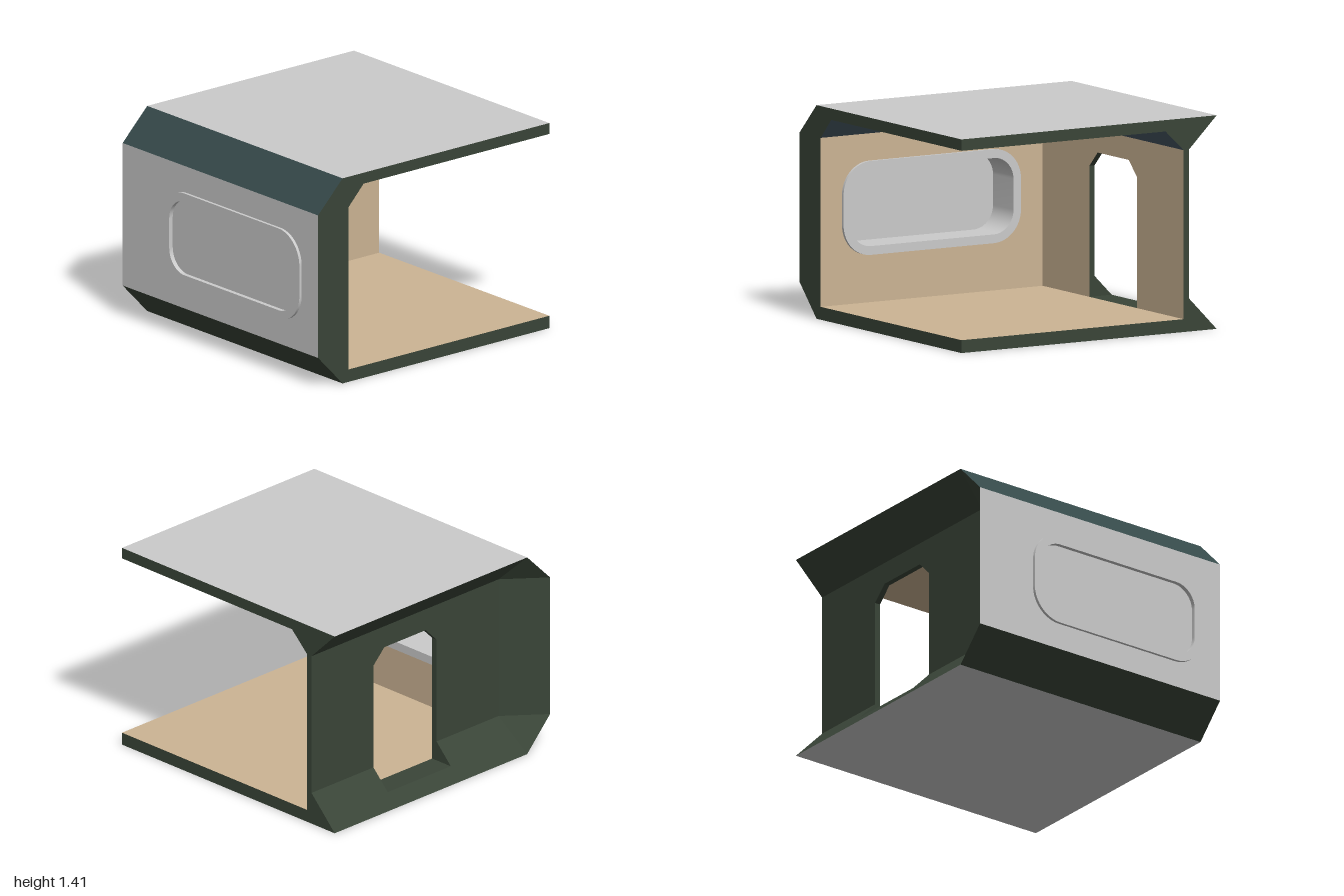
import * as THREE from 'three';
import { toCreasedNormals } from 'three/addons/utils/BufferGeometryUtils.js';

const paint = (name, color) => {
  const m = new THREE.MeshStandardMaterial({ color });
  m.name = name;
  return m;
};

// Main dimensions
const END = 1, SIDE = -0.98, EDGE = -0.77;         // open end, outer side wall, roof edge
const FRONT = 0.985, REAR = -0.985;                // front and rear rims
const TOP = 1.41, SHOULDER = 1.2, HIP = 0.22;      // outer heights
const IN_X = -0.72, IN_Z = -0.73, OUT_Z = -0.77;   // inner walls, recessed rear wall
const FLOOR = 0.085, CEIL = 1.335, CX = -0.59, CZ = -0.59;

export function createModel() {
  const model = new THREE.Group();
  model.name = 'habitatModule';
  const grey = paint('light grey', 0xcbcbcb);
  const tan = paint('warm tan', 0xccb494);
  const green = paint('dark green', 0x3a4538);
  const teal = paint('dark teal', 0x35494a);
  const slate = paint('slate blue', 0x495a66);

  const add = (name, geometry, material) => {
    const mesh = new THREE.Mesh(geometry, material);
    mesh.name = name;
    model.add(mesh);
    return mesh;
  };

  // Flat panel: a 2D outline placed in space by a rule and turned to face a direction
  const panel = (name, material, outline, place, facing, holes = []) => {
    const shape = Array.isArray(outline)
      ? new THREE.Shape(outline.map(([u, v]) => new THREE.Vector2(u, v))) : outline;
    shape.holes.push(...holes);
    const geo = new THREE.ShapeGeometry(shape, 10);
    const pos = geo.attributes.position;
    for (let i = 0; i < pos.count; i++) pos.setXYZ(i, ...place(pos.getX(i), pos.getY(i)));
    geo.computeVertexNormals();
    const n = new THREE.Vector3().fromBufferAttribute(geo.attributes.normal, 0);
    if (n.dot(new THREE.Vector3(...facing)) < 0) {
      geo.setIndex(Array.from(geo.index.array).reverse());
      geo.computeVertexNormals();
    }
    return add(name, geo, material);
  };
  const atX = x => (z, y) => [x, y, z];
  const atY = y => (x, z) => [x, y, z];
  const atZ = z => (x, y) => [x, y, z];
  const rect = (a, b, c, d) => [[a, c], [b, c], [b, d], [a, d]];

  // Convex sloping panel from three or four corners in space
  const facet = (name, material, corners, facing) => {
    const geo = new THREE.BufferGeometry();
    geo.setAttribute('position', new THREE.Float32BufferAttribute(corners.flat(), 3));
    const [a, b, c] = corners.map(p => new THREE.Vector3(...p));
    const n = b.clone().sub(a).cross(c.clone().sub(a));
    const index = corners.length === 4 ? [0, 1, 2, 0, 2, 3] : [0, 1, 2];
    geo.setIndex(n.dot(new THREE.Vector3(...facing)) < 0 ? index.reverse() : index);
    geo.computeVertexNormals();
    return add(name, geo, material);
  };

  // Rounded window outline in (z, y), shrunk by an inset
  const windowShape = inset => {
    const a = -0.55 + inset, b = 0.82 - inset, c = 0.4 + inset, d = 1.02 - inset, r = 0.21 - inset;
    const s = new THREE.Shape();
    s.absarc(b - r, c + r, r, -Math.PI / 2, 0);
    s.absarc(b - r, d - r, r, 0, Math.PI / 2);
    s.absarc(a + r, d - r, r, Math.PI / 2, Math.PI);
    s.absarc(a + r, c + r, r, Math.PI, Math.PI * 1.5);
    s.closePath();
    return s;
  };

  // Outer shell
  panel('roof', grey, rect(EDGE, END, REAR, FRONT), atY(TOP), [0, 1, 0]);
  panel('underside', grey, rect(EDGE, END, REAR, FRONT), atY(0), [0, -1, 0]);
  panel('outerSideWall', grey, rect(REAR, FRONT, HIP, SHOULDER), atX(SIDE), [-1, 0, 0], [windowShape(0.03)]);
  facet('roofBevel', teal, [[EDGE, TOP, FRONT], [EDGE, TOP, REAR], [SIDE, SHOULDER, REAR], [SIDE, SHOULDER, FRONT]], [-1, 1, 0]);
  facet('bottomBevel', green, [[EDGE, 0, FRONT], [EDGE, 0, REAR], [SIDE, HIP, REAR], [SIDE, HIP, FRONT]], [-1, -1, 0]);

  // Cut faces at the open front and the open end
  panel('frontRim', green, [[END, 0], [EDGE, 0], [SIDE, HIP], [SIDE, SHOULDER], [EDGE, TOP], [END, TOP],
    [END, CEIL], [CX, CEIL], [IN_X, SHOULDER], [IN_X, FLOOR], [END, FLOOR]], atZ(FRONT), [0, 0, 1]);
  panel('endRim', green, [[FRONT, 0], [REAR, 0], [OUT_Z, HIP], [OUT_Z, SHOULDER], [REAR, TOP], [FRONT, TOP],
    [FRONT, CEIL], [CZ, CEIL], [IN_Z, SHOULDER], [IN_Z, FLOOR], [FRONT, FLOOR]], atX(END), [1, 0, 0]);

  // Interior lining
  panel('floor', tan, rect(IN_X, END, IN_Z, FRONT), atY(FLOOR), [0, 1, 0]);
  panel('ceiling', tan, rect(CX, END, CZ, FRONT), atY(CEIL), [0, -1, 0]);
  panel('innerSideWall', tan, rect(IN_Z, FRONT, FLOOR, SHOULDER), atX(IN_X), [1, 0, 0], [windowShape(0.03)]);
  facet('sideCeilingBevel', slate, [[IN_X, SHOULDER, FRONT], [IN_X, SHOULDER, IN_Z], [CX, CEIL, CZ], [CX, CEIL, FRONT]], [1, -1, 0]);
  facet('rearCeilingBevel', slate, [[END, SHOULDER, IN_Z], [IN_X, SHOULDER, IN_Z], [CX, CEIL, CZ], [END, CEIL, CZ]], [0, -1, 1]);

  // Rear wall, both faces notched by the doorway
  const L = -0.15, R = 0.43, doorTop = 1.05, doorSide = 0.95, cut = 0.1;
  const doorTopLine = [[L, doorSide], [L + cut, doorTop], [R - cut, doorTop], [R, doorSide]];
  const rearWall = base => [[IN_X, base], [L, base], ...doorTopLine, [R, base],
    [END, base], [END, SHOULDER], [IN_X, SHOULDER]];
  panel('innerRearWall', tan, rearWall(FLOOR), atZ(IN_Z), [0, 0, 1]);
  panel('outerRearWall', green, rearWall(HIP), atZ(OUT_Z), [0, 0, -1]);

  // Flared rear rim around the recessed wall
  const slopeZ = y => OUT_Z + (REAR - OUT_Z) * (HIP - y) / HIP;
  panel('lowerRearFlare', green, [[END, HIP], [R, HIP], [R, FLOOR], [L, FLOOR], [L, HIP], [IN_X, HIP],
    [EDGE, 0], [END, 0]], (x, y) => [x, y, slopeZ(y)], [0, 1, -1]);
  facet('upperRearFlare', green, [[END, SHOULDER, OUT_Z], [IN_X, SHOULDER, OUT_Z], [EDGE, TOP, REAR], [END, TOP, REAR]], [0, -1, -1]);
  facet('sideRearFlare', green, [[IN_X, HIP, OUT_Z], [IN_X, SHOULDER, OUT_Z], [SIDE, SHOULDER, REAR], [SIDE, HIP, REAR]], [1, 0, -1]);
  for (const [inner, rim] of [[HIP, 0], [SHOULDER, TOP]])
    facet('rearFlareCorner', green, [[IN_X, inner, OUT_Z], [EDGE, rim, REAR], [SIDE, inner, REAR]], [0, 0, -1]);

  // Doorway lining: threshold, jambs and bevelled lintel
  const sill = slopeZ(FLOOR);
  panel('threshold', green, rect(L, R, sill, IN_Z), atY(FLOOR), [0, 1, 0]);
  for (const [x, dir] of [[L, 1], [R, -1]])
    panel('doorJamb', green, [[IN_Z, FLOOR], [sill, FLOOR], [OUT_Z, HIP], [OUT_Z, doorSide], [IN_Z, doorSide]], atX(x), [dir, 0, 0]);
  for (let i = 0; i < 3; i++) {
    const [a, b] = [doorTopLine[i], doorTopLine[i + 1]];
    facet('doorLintel', green, [[...a, IN_Z], [...b, IN_Z], [...b, OUT_Z], [...a, OUT_Z]], [0, -1, 0]);
  }

  // Window: deep rounded frame through the side wall, with a pane near the outside
  const extrudeX = (name, shape, x, depth) => {
    const geo = new THREE.ExtrudeGeometry(shape, { depth, bevelEnabled: false, curveSegments: 10 });
    const mesh = add(name, toCreasedNormals(geo, 0.6), grey);
    mesh.rotation.y = -Math.PI / 2;
    mesh.position.x = x;
  };
  const frame = windowShape(0);
  frame.holes.push(windowShape(0.058));
  extrudeX('windowFrame', frame, -0.7, 0.3);
  extrudeX('windowPane', windowShape(0.055), -0.95, 0.02);

  return model;
}
